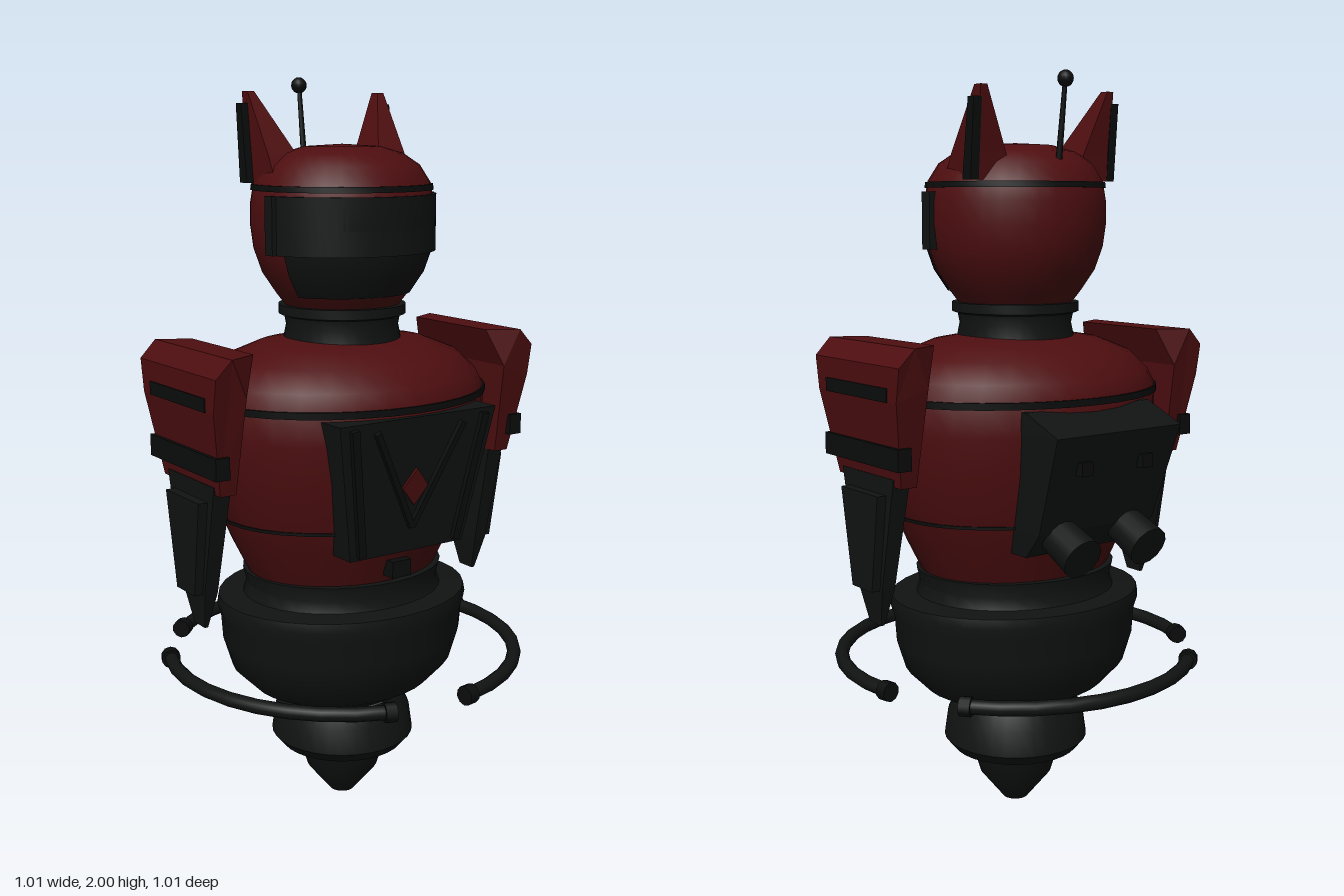
import * as THREE from 'three';
import { toCreasedNormals } from 'three/addons/utils/BufferGeometryUtils.js';

const mat = (name, color, side = THREE.FrontSide) => {
  const m = new THREE.MeshStandardMaterial({ color, side });
  m.name = name;
  return m;
};

export function createModel() {
  const root = new THREE.Group();
  root.name = 'robot';
  const red = mat('darkRed', 0x4e0e10);
  const black = mat('black', 0x111313, THREE.DoubleSide);
  const trim = mat('trimBlack', 0x0b0c0c);

  const add = (name, geo, material, parent = root) => {
    const mesh = new THREE.Mesh(geo, material);
    mesh.name = name;
    parent.add(mesh);
    return mesh;
  };
  const box = (w, h, d, x, y, z) => new THREE.BoxGeometry(w, h, d).translate(x, y, z);

  // Turned part, with profile points [radius, y] from bottom to top
  const lathe = (pts, zScale = 1, start = 0, sweep = Math.PI * 2) => {
    const g = new THREE.LatheGeometry(pts.map(p => new THREE.Vector2(...p)), 32, start, sweep);
    return toCreasedNormals(g.scale(1, 1, zScale), 0.6);
  };

  // Solid through rectangular sections [y, xA, xB, zA, zB] from bottom to top
  const loft = (sections) => {
    const rings = sections.map(([y, a, b, c, d]) => {
      const x0 = Math.min(a, b), x1 = Math.max(a, b), z0 = Math.min(c, d), z1 = Math.max(c, d);
      return [[x0, y, z1], [x1, y, z1], [x1, y, z0], [x0, y, z0]];
    });
    const pos = [];
    const quad = (a, b, c, d) => pos.push(...a, ...b, ...c, ...a, ...c, ...d);
    for (let k = 0; k < rings.length - 1; k++)
      for (let i = 0; i < 4; i++) {
        const j = (i + 1) % 4;
        quad(rings[k][i], rings[k][j], rings[k + 1][j], rings[k + 1][i]);
      }
    quad(...rings[0].slice().reverse());
    quad(...rings[rings.length - 1]);
    const g = new THREE.BufferGeometry();
    g.setAttribute('position', new THREE.Float32BufferAttribute(pos, 3));
    g.computeVertexNormals();
    return g;
  };

  // Pointed base
  add('thrusterCone', lathe([[0, 0], [0.035, 0.01], [0.1, 0.09], [0.125, 0.17], [0.175, 0.17],
    [0.2, 0.2], [0.19, 0.27], [0.165, 0.32]]), black);
  add('hipBowl', lathe([[0.12, 0.31], [0.165, 0.312], [0.26, 0.36], [0.32, 0.42], [0.345, 0.5],
    [0.35, 0.57], [0.36, 0.6], [0.355, 0.625], [0.285, 0.63], [0.275, 0.66], [0.285, 0.7], [0, 0.7]], 0.87), black);

  // Three broken hover ring arcs with end caps
  const R = 0.483, span = 92 * Math.PI / 180;
  for (let i = 0; i < 3; i++) {
    const start = (-10 + i * 120) * Math.PI / 180;
    const arc = new THREE.Group();
    arc.name = 'hoverRing' + (i + 1);
    arc.position.y = 0.447;
    root.add(arc);
    add('ringArc', new THREE.TorusGeometry(R, 0.019, 10, 9, span).rotateZ(start).rotateX(Math.PI / 2), black, arc);
    for (const a of [start, start + span])
      add('ringCap', new THREE.CylinderGeometry(0.026, 0.026, 0.03, 10)
        .translate(R, 0, 0).rotateZ(a).rotateX(Math.PI / 2), trim, arc);
  }

  // Torso
  add('torso', lathe([[0.275, 0.7], [0.315, 0.78], [0.355, 0.87], [0.392, 1.0], [0.407, 1.1], [0.407, 1.19],
    [0.385, 1.23], [0.33, 1.28], [0.24, 1.315], [0.15, 1.33], [0, 1.33]], 0.825), red);
  for (const [r, y, h] of [[0.413, 1.18, 0.009], [0.357, 0.862, 0.004]])
    add('torsoSeam', lathe([[r - 0.02, y - h], [r, y - h], [r, y + h], [r - 0.02, y + h]], 0.825), trim);
  add('beltBuckle', box(0.06, 0.045, 0.04, 0, 0.745, 0.258), trim);

  // Chest plate with chevron and diamond
  add('chestPlate', loft([[0.8, -0.18, 0.18, 0.18, 0.3], [1.165, -0.245, 0.245, 0.2, 0.35]]), black);
  const badge = new THREE.Group();
  badge.name = 'chestDetail';
  badge.position.set(0, 0.98, 0.326);
  badge.rotation.x = 0.138;
  root.add(badge);
  const strip = (name, x0, y0, x1, y1, w) => {
    const m = add(name, new THREE.BoxGeometry(w, Math.hypot(x1 - x0, y1 - y0), 0.018), trim, badge);
    m.position.set((x0 + x1) / 2, (y0 + y1) / 2, 0.003);
    m.rotation.z = -Math.atan2(x1 - x0, y1 - y0);
  };
  for (const s of [-1, 1]) {
    strip('chevron', 0, -0.11, s * 0.135, 0.16, 0.016);
    strip('chestFrame', s * 0.15, -0.17, s * 0.205, 0.175, 0.022);
  }
  add('diamond', new THREE.CylinderGeometry(0.05, 0.05, 0.008, 4).rotateX(Math.PI / 2)
    .scale(0.8, 1, 1).translate(0, 0, 0.004), red, badge);

  // Backpack with two nozzles
  add('backpack', loft([[0.79, -0.18, 0.18, -0.2, -0.28], [0.86, -0.19, 0.19, -0.2, -0.345],
    [1.115, -0.203, 0.203, -0.2, -0.432], [1.165, -0.203, 0.203, -0.2, -0.31]]), black);
  for (const s of [-1, 1]) {
    const nozzle = add('nozzle', new THREE.CylinderGeometry(0.05, 0.056, 0.13, 14), black);
    nozzle.position.set(s * 0.11, 0.83, -0.36);
    nozzle.rotation.x = Math.PI / 2 - 0.42;
    add('backpackKnob', box(0.035, 0.035, 0.06, s * 0.1, 1.03, -0.393), trim);
  }

  // Shoulder pads and arm blades
  const padHalf = y => 0.148 + 0.054 * Math.min(1, Math.max(0, (y - 0.98) / 0.32));
  for (const s of [-1, 1]) {
    const arm = new THREE.Group();
    arm.name = s > 0 ? 'leftArm' : 'rightArm';
    root.add(arm);
    const outline = [[0.5, 1.2], [0.5, 1.285], [0.455, 1.33], [0.37, 1.33], [0.41, 1.23], [0.42, 0.98], [0.465, 0.98]];
    const pad = new THREE.ExtrudeGeometry(
      new THREE.Shape(outline.map(([x, y]) => new THREE.Vector2(s * x, y))),
      { depth: 2, bevelEnabled: false }).translate(0, 0, -1);
    const p = pad.attributes.position;
    for (let i = 0; i < p.count; i++) {
      const inner = Math.abs(p.getX(i)) < 0.4 ? 0.157 : padHalf(p.getY(i));
      p.setZ(i, p.getZ(i) * inner);
    }
    pad.computeVertexNormals();
    add('shoulderPad', pad, red, arm);
    add('padStripeUpper', box(0.02, 0.035, 0.29, s * 0.493, 1.215, 0), trim, arm);
    add('padStripeLower', box(0.04, 0.057, 0.35, s * 0.471, 1.057, 0), trim, arm);
    add('armBlade', loft([[0.6, s * 0.444, s * 0.454, -0.025, 0.03], [0.7, s * 0.43, s * 0.468, -0.055, 0.06],
      [1.0, s * 0.42, s * 0.47, -0.12, 0.125]]), black, arm);
    add('armGuard', loft([[0.7, s * 0.435, s * 0.492, -0.045, 0.05], [0.955, s * 0.435, s * 0.496, -0.085, 0.09]]), black, arm);
  }

  // Neck and head
  add('neck', lathe([[0.16, 1.31], [0.15, 1.36], [0.155, 1.385], [0.17, 1.39], [0.17, 1.415], [0, 1.415]]), black);
  const lower = [[0.155, 1.415], [0.178, 1.445], [0.215, 1.5], [0.236, 1.56], [0.244, 1.62]];
  add('head', lathe([...lower, [0.243, 1.68], [0.234, 1.73], [0.205, 1.775], [0.16, 1.805], [0.1, 1.822], [0, 1.828]], 0.97), red);
  add('headSeam', lathe([[0.22, 1.712], [0.242, 1.712], [0.24, 1.727], [0.22, 1.727]], 0.975), trim);
  add('mask', lathe([...lower.slice(1).map(([r, y]) => [r + 0.006, y]), [0.25, 1.7], [0.23, 1.7]], 0.95, -1.24, 2.48), black);
  add('visor', lathe([[0.225, 1.555], [0.252, 1.555], [0.252, 1.702], [0.225, 1.702]], 0.94, -1.4, 2.8), black);
  for (const s of [-1, 1]) {
    add('visorHinge', box(0.024, 0.147, 0.035, s * 0.243, 1.6285, 0.046), black);
    add('ear', loft([[1.73, s * 0.215, s * 0.11, -0.125, 0.02], [1.8, s * 0.215, s * 0.128, -0.128, -0.015],
      [1.96, s * 0.215, s * 0.195, -0.142, -0.115]]), red);
    add('earPlate', loft([[1.73, s * 0.235, s * 0.21, -0.125, -0.09], [1.93, s * 0.235, s * 0.21, -0.14, -0.115]]), trim);
  }

  // Antenna
  const rod = add('antennaRod', new THREE.CylinderGeometry(0.006, 0.009, 0.24, 8), trim);
  rod.position.set(0, 1.86, -0.191);
  rod.rotation.x = -0.12;
  add('antennaBall', new THREE.SphereGeometry(0.021, 14, 10).translate(0, 1.979, -0.206), trim);
  return root;
}
